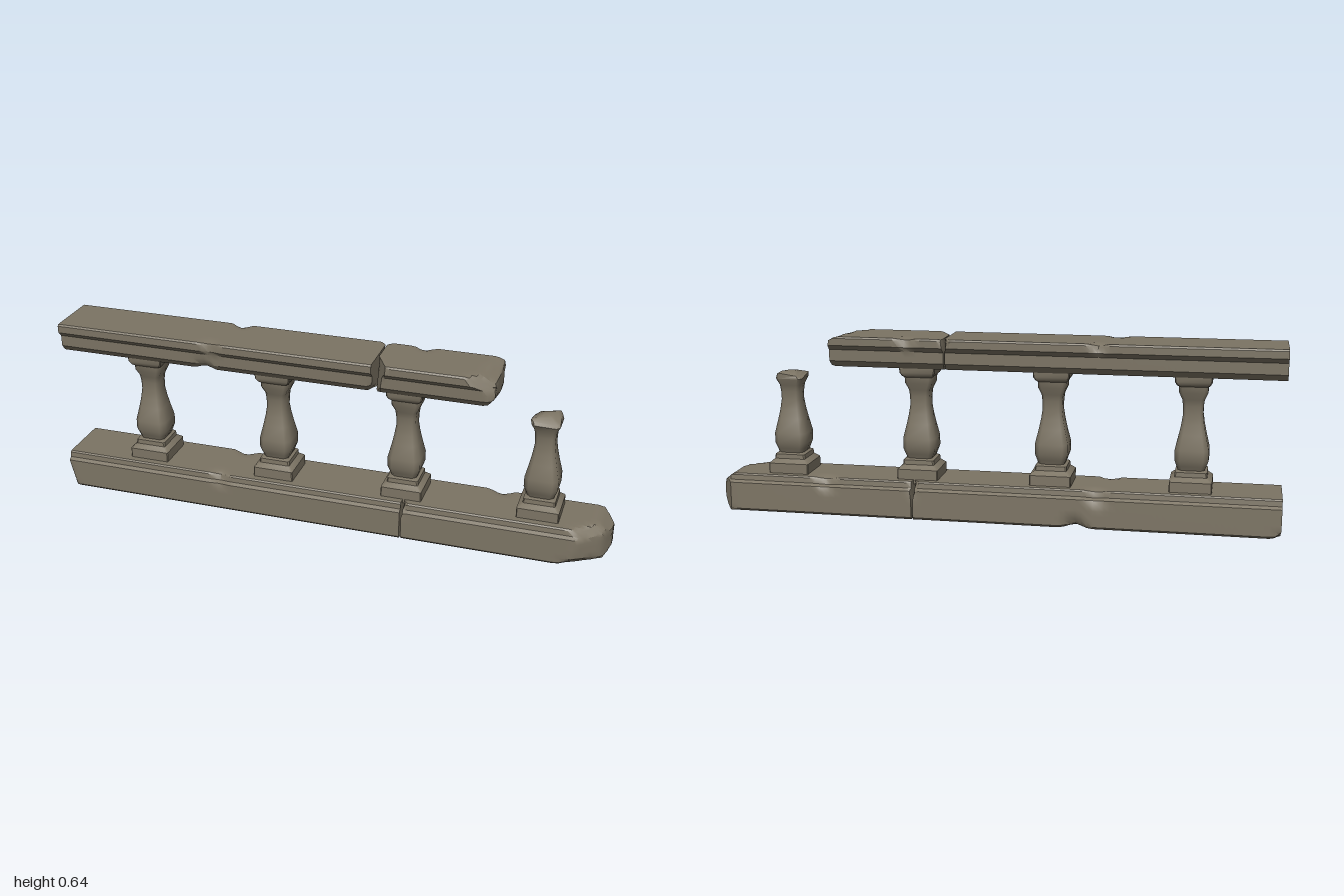
import * as THREE from 'three';
import { toCreasedNormals } from 'three/addons/utils/BufferGeometryUtils.js';

const V = (x, y, z) => new THREE.Vector3(x, y, z);

// Skin a list of equal-length point rings, counterclockwise around the axis
function loft(rings, crease) {
  const pos = [];
  const n = rings[0].length;
  for (let i = 0; i + 1 < rings.length; i++) {
    for (let j = 0; j < n; j++) {
      const k = (j + 1) % n;
      const [a, b, c, d] = [rings[i][j], rings[i][k], rings[i + 1][k], rings[i + 1][j]];
      for (const t of [[a, b, c], [a, c, d]]) {
        const area = t[1].clone().sub(t[0]).cross(t[2].clone().sub(t[0])).length();
        if (area > 1e-9) for (const p of t) pos.push(p.x, p.y, p.z);
      }
    }
  }
  const g = new THREE.BufferGeometry();
  g.setAttribute('position', new THREE.Float32BufferAttribute(pos, 3));
  return toCreasedNormals(g, crease);
}

// Planing rule: points beyond a cut plane [normal, point] drop onto it
function plane(p, cuts) {
  for (let pass = 0; pass < 4; pass++) {
    for (const [n, q] of cuts) {
      const m = V(...n).normalize();
      const d = p.clone().sub(V(...q)).dot(m);
      if (d > 0) p.addScaledVector(m, -d);
    }
  }
  return p;
}

// Stone beam along x from a half profile [z, y], with broken corners and small dents
function beam(half, x0, x1, cuts, dents) {
  const outline = [...half, ...half.slice().reverse().map(([z, y]) => [-z, y])];
  const loop = [];
  outline.forEach(([z, y], i) => {
    const [z2, y2] = outline[(i + 1) % outline.length];
    const steps = Math.max(1, Math.round(Math.hypot(z2 - z, y2 - y) / 0.02));
    for (let s = 0; s < steps; s++) loop.push([z + (z2 - z) * s / steps, y + (y2 - y) * s / steps]);
  });
  const mid = (half[0][1] + half[half.length - 1][1]) / 2;
  const stations = [0, 0.25, 0.5, 0.75].map(s => [x0, s]);
  const count = Math.ceil((x1 - x0) / 0.02);
  for (let i = 0; i <= count; i++) stations.push([x0 + (x1 - x0) * i / count, 1]);
  for (const s of [0.75, 0.5, 0.25, 0]) stations.push([x1, s]);
  const rings = stations.map(([x, s]) => loop.map(([z, y]) => {
    const p = V(x, mid + (y - mid) * s, z * s);
    for (const [dx, dy, dz, r] of dents) {
      const d = p.distanceTo(V(dx, dy, dz));
      if (d < r) p.lerp(V(p.x, mid, 0), (1 - d / r) * 0.18);
    }
    return plane(p, cuts);
  }));
  return loft(rings, 0.55);
}

// Square ring with trimmed corners
function squareRing(y, h, trim) {
  const k = h * (1 - trim);
  return [[h, k], [h, -k], [k, -h], [-k, -h], [-h, -k], [-h, k], [-k, h], [k, h]]
    .map(([x, z]) => V(x, y, z));
}

// Stacked square rings [y, half width, trim], closed at both ends
function column(rows, crease, cuts = []) {
  const first = rows[0], last = rows[rows.length - 1];
  const all = [[first[0], 0, 0], ...rows,
    ...[0.66, 0.33, 0].map(s => [last[0], last[1] * s, last[2]])];
  return loft(all.map(r => squareRing(...r).map(p => plane(p, cuts))), crease);
}

export function createModel() {
  const model = new THREE.Group();
  model.name = 'brokenBalustrade';
  const stone = new THREE.MeshStandardMaterial({ color: 0x7c7464 });
  stone.name = 'weathered stone';
  const add = (parent, name, geometry) => {
    const mesh = new THREE.Mesh(geometry, stone);
    mesh.name = name;
    parent.add(mesh);
  };

  // Base beam in two blocks
  const baseProfile = [[0.097, 0.135], [0.102, 0.13], [0.104, 0.112], [0.117, 0.104],
    [0.118, 0.008], [0.111, 0]];
  add(model, 'baseLong', beam(baseProfile, -1, 0.278, [
    [[-0.75, -0.2, 0.6], [-0.985, 0.05, 0.118]],
    [[-0.6, -0.7, -0.4], [-0.985, 0.01, -0.11]],
    [[0.7, 0.4, -0.6], [0.265, 0.11, -0.11]],
  ], [[-0.37, 0.125, -0.11, 0.05], [-0.4, 0.13, 0.11, 0.04], [-0.3, 0, -0.11, 0.05]]));
  add(model, 'baseShort', beam(baseProfile, 0.284, 1, [
    [[-0.7, 0.5, 0.5], [0.30, 0.12, 0.112]],
    [[-0.7, 0.2, -0.6], [0.295, 0.1, -0.118]],
    [[0.65, 0, 0.76], [0.89, 0.07, 0.116]],
    [[0.8, 0, -0.6], [0.955, 0.07, -0.118]],
    [[0.92, 0, 0.39], [0.995, 0.07, -0.005]],
    [[0.6, 0.8, 0], [0.95, 0.135, 0]],
    [[0.5, 0.6, 0.6], [0.89, 0.125, 0.09]],
    [[0.35, -0.7, 0.6], [0.9, 0.02, 0.095]],
    [[0.7, -0.7, 0], [0.98, 0.008, 0]],
  ], [[0.6, 0.13, -0.11, 0.05]]));

  // Handrail in two blocks, the short one broken at its end
  const railProfile = [[0.099, 0.645], [0.104, 0.639], [0.104, 0.614], [0.087, 0.597],
    [0.086, 0.557], [0.068, 0.535]];
  add(model, 'railLong', beam(railProfile, -1, 0.164, [
    [[0.75, 0.2, -0.6], [0.15, 0.63, -0.104]],
    [[0.7, -0.6, 0.4], [0.155, 0.56, 0.085]],
  ], [[-0.37, 0.64, -0.104, 0.04], [-0.42, 0.63, 0.104, 0.04], [-0.45, 0.545, 0.07, 0.04]]));
  add(model, 'railShort', beam(railProfile, 0.169, 0.58, [
    [[-0.87, 0.12, 0.48], [0.17, 0.63, 0.025]],
    [[-0.7, 0.2, -0.6], [0.18, 0.63, -0.104]],
    [[0.6, 0, 0.8], [0.53, 0.59, 0.104]],
    [[0.52, 0.85, 0.1], [0.535, 0.645, 0]],
    [[0.55, 0.5, 0.65], [0.505, 0.64, 0.085]],
    [[0.7, -0.7, 0.1], [0.565, 0.537, 0]],
  ], [[0.3, 0.635, -0.104, 0.04]]));

  // Four balusters, the last snapped off below its capital
  const plinth = [[0.12, 0.073, 0.04], [0.171, 0.073, 0.04], [0.186, 0.056, 0.06],
    [0.202, 0.055, 0.1], [0.207, 0.046, 0.2]];
  const shaft = [[0.205, 0.045, 0.3], [0.222, 0.051, 0.3], [0.242, 0.058, 0.3],
    [0.278, 0.058, 0.3], [0.33, 0.046, 0.3], [0.365, 0.039, 0.3], [0.4, 0.034, 0.3],
    [0.43, 0.035, 0.3], [0.453, 0.038, 0.3], [0.478, 0.049, 0.25], [0.505, 0.05, 0.2]];
  const capital = [[0.5, 0.05, 0.15], [0.506, 0.057, 0.1], [0.518, 0.063, 0.06], [0.54, 0.064, 0.04]];
  const snapped = [
    [[0.1, 0.85, 0.5], [0, 0.505, 0.005]],
    [[0.6, 0.8, 0], [0.035, 0.5, 0]],
    [[-0.5, 0.85, -0.2], [-0.03, 0.5, 0]],
  ];
  [-0.69, -0.205, 0.27, 0.75].forEach((x, i) => {
    const baluster = new THREE.Group();
    baluster.name = i < 3 ? 'baluster' : 'brokenBaluster';
    baluster.position.x = x;
    add(baluster, 'plinth', column(plinth, 0.6));
    add(baluster, 'shaft', column(shaft, 0.9, i < 3 ? [] : snapped));
    if (i < 3) add(baluster, 'capital', column(capital, 0.6));
    model.add(baluster);
  });
  return model;
}
